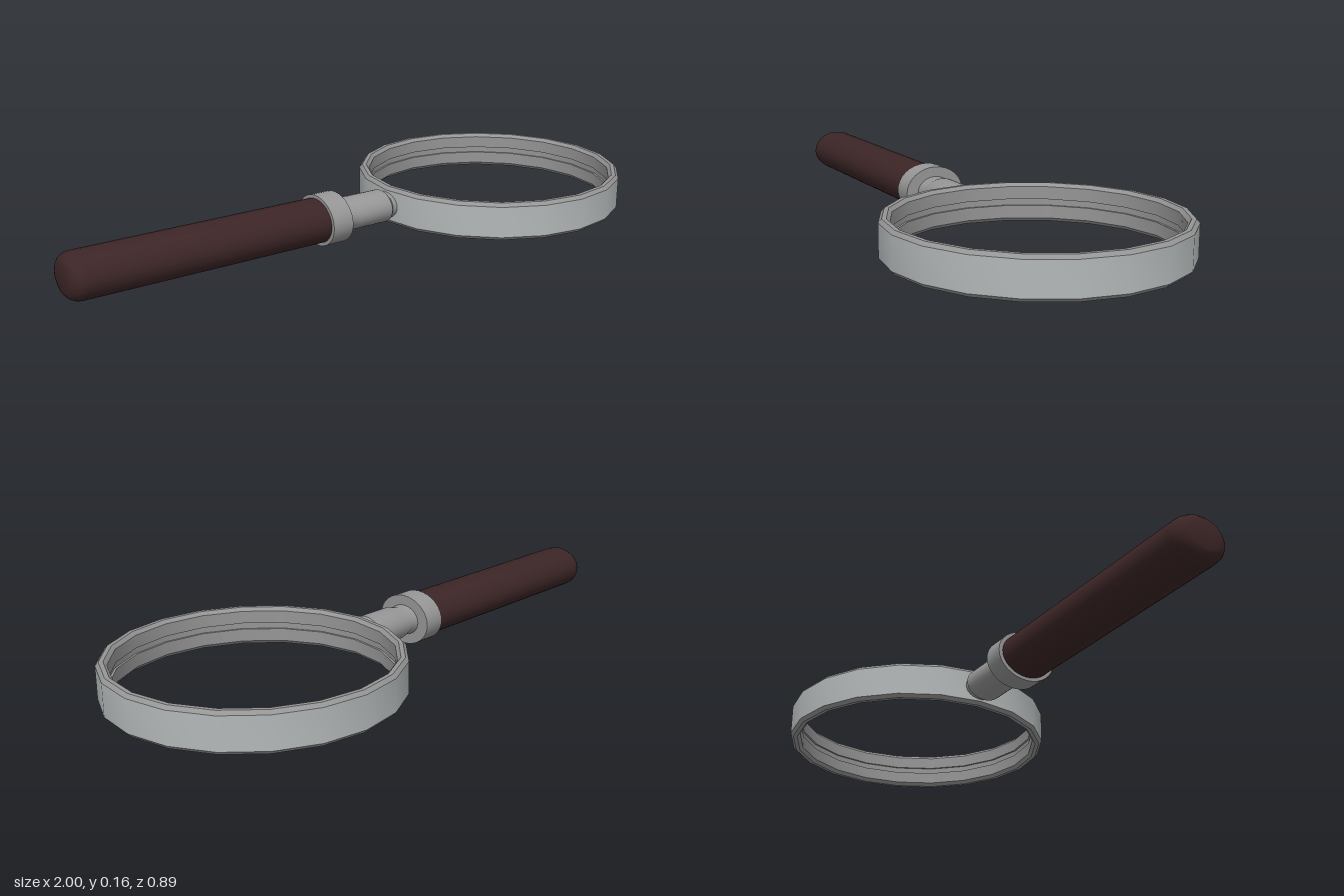
import * as THREE from 'three';
import { toCreasedNormals } from 'three/addons/utils/BufferGeometryUtils.js';

const AXIS_Y = 0.081;

function lathe(name, points, sides, material, crease = 0.5) {
  const profile = points.map(([r, h]) => new THREE.Vector2(r, h));
  const geometry = toCreasedNormals(new THREE.LatheGeometry(profile, sides), crease);
  const mesh = new THREE.Mesh(geometry, material);
  mesh.name = name;
  return mesh;
}

// Turned part lying along x, slightly flattened in height; points are [x, radius]
function turned(name, points, material) {
  const mesh = lathe(name, points.map(([x, r]) => [r, x]), 32, material, 0.6);
  mesh.rotation.z = -Math.PI / 2;
  mesh.scale.x = 0.81;
  mesh.position.y = AXIS_Y;
  return mesh;
}

export function createModel() {
  const make = (name, color) => {
    const m = new THREE.MeshStandardMaterial({ color });
    m.name = name;
    return m;
  };
  const wood = make('dark wood', 0x3c2526);
  const steel = make('steel', 0x969696);
  const bright = make('bright steel', 0xb3b8b8);

  const model = new THREE.Group();
  model.name = 'magnifyingGlass';

  // Handle with a rounded butt
  model.add(turned('handle', [
    [-1, 0], [-1, 0.05], [-0.996, 0.064], [-0.986, 0.077], [-0.972, 0.085],
    [-0.955, 0.087], [-0.15, 0.087], [-0.15, 0],
  ], wood));

  // Collar and neck joining the handle to the frame
  model.add(turned('collar', [
    [-0.162, 0], [-0.162, 0.1], [-0.09, 0.1], [-0.09, 0],
  ], steel));
  model.add(turned('neck', [
    [-0.1, 0.06], [-0.085, 0.06], [-0.065, 0.056], [-0.035, 0.065],
    [0.09, 0.065], [0.1, 0.055], [0.122, 0.052], [0.122, 0],
  ], steel));

  // Twenty-sided lens frame: outer band, then bevelled rims and grooved inside
  const frame = new THREE.Group();
  frame.name = 'lensFrame';
  frame.position.set(0.555, AXIS_Y, 0);
  frame.add(lathe('outerBand', [[0.445, -0.05], [0.445, 0.05]], 20, bright));
  frame.add(lathe('rimsAndInside', [
    [0.445, 0.05], [0.435, 0.061], [0.422, 0.061], [0.412, 0.05],
    [0.412, 0.01], [0.419, 0.01], [0.419, -0.01], [0.412, -0.01],
    [0.412, -0.05], [0.422, -0.061], [0.435, -0.061], [0.445, -0.05],
  ], 20, steel));
  model.add(frame);

  return model;
}
